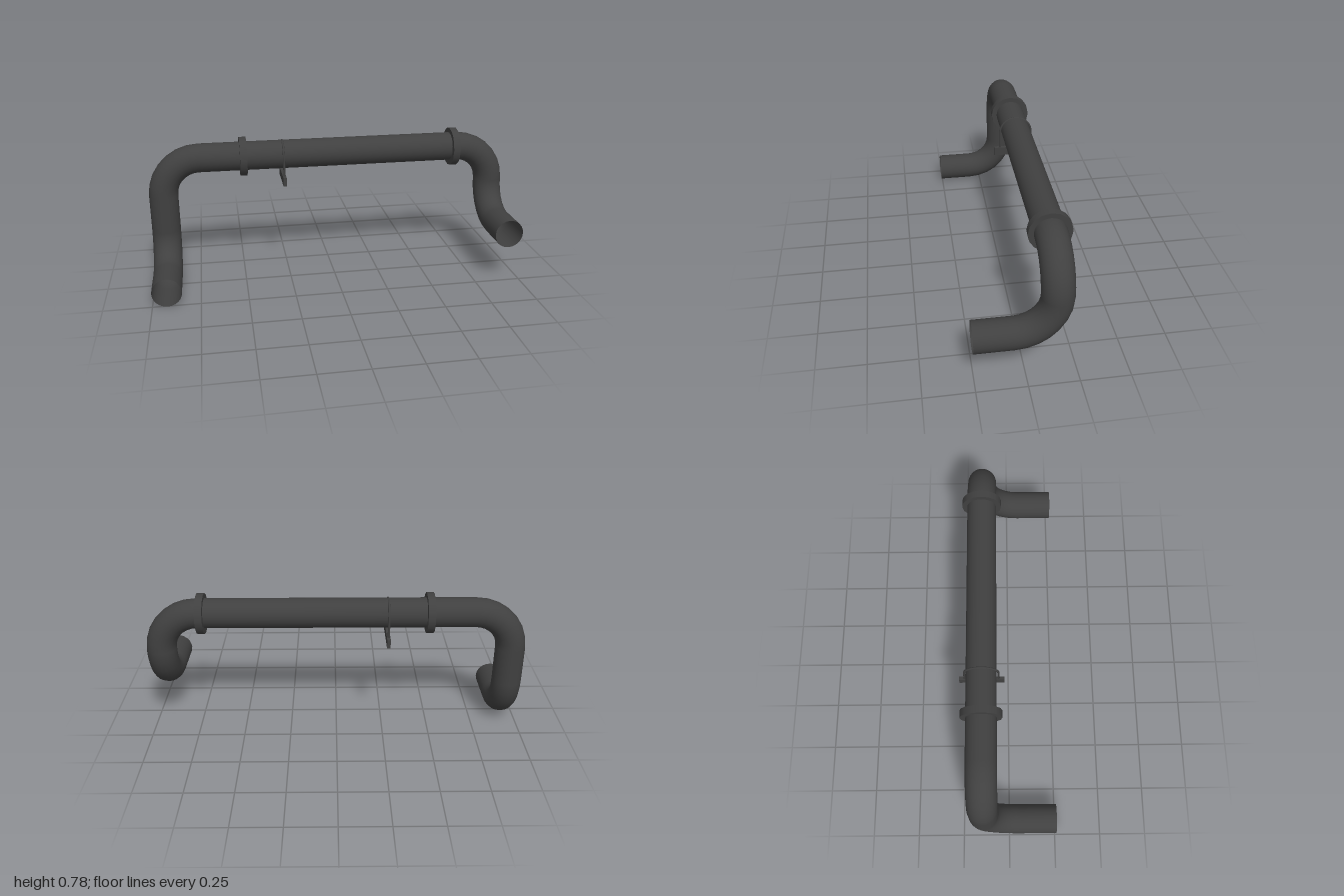
import * as THREE from 'three';

const V = (x, y, z) => new THREE.Vector3(x, y, z);
const R = 0.078, BEND = 0.2, Y = 0.677, Z = -0.137;

// Curve that steps through exact stations, each a point with its tangent
class StationCurve extends THREE.Curve {
  constructor(stations) { super(); this.stations = stations; }
  at(u) { return this.stations[Math.round(u * (this.stations.length - 1))]; }
  getPointAt(u) { return this.at(u).p.clone(); }
  getTangentAt(u) { return this.at(u).t.clone(); }
}

// Straight runs between corners, joined by quarter-circle bends
function bentPath(corners, radius, steps) {
  const dir = (a, b) => b.clone().sub(a).normalize();
  const n = corners.length - 1;
  const stations = [{ p: corners[0], t: dir(corners[0], corners[1]) }];
  for (let i = 1; i < n; i++) {
    const a = dir(corners[i - 1], corners[i]), b = dir(corners[i], corners[i + 1]);
    const centre = corners[i].clone().addScaledVector(a, -radius).addScaledVector(b, radius);
    for (let k = 0; k <= steps; k++) {
      const w = (k / steps) * Math.PI / 2, s = Math.sin(w), c = Math.cos(w);
      const p = centre.clone().addScaledVector(b, -radius * c).addScaledVector(a, radius * s);
      const t = a.clone().multiplyScalar(c).addScaledVector(b, s);
      const last = stations[stations.length - 1].p;
      if (last.distanceTo(p) > 1e-4) stations.push({ p, t });
    }
  }
  stations.push({ p: corners[n], t: dir(corners[n - 1], corners[n]) });
  return new StationCurve(stations);
}

export function createModel() {
  const group = new THREE.Group();
  const dark = new THREE.MeshStandardMaterial({ color: 0x404040 });
  const open = new THREE.MeshStandardMaterial({ color: 0x404040, side: THREE.DoubleSide });
  const add = (name, geometry, x = 0, y = 0, z = 0, material = dark) => {
    const mesh = new THREE.Mesh(geometry, material);
    mesh.name = name;
    mesh.position.set(x, y, z);
    group.add(mesh);
    return mesh;
  };

  // Open-ended pipe: forward outlet, riser, crossing, drop, forward outlet
  const X = 0.922, lowY = 0.078, highY = 0.278, endZ = 0.256;
  const path = bentPath([
    V(-X, lowY, endZ), V(-X, lowY, Z), V(-X, Y, Z),
    V(X, Y, Z), V(X, highY, Z), V(X, highY, endZ),
  ], BEND, 7);
  add('pipe', new THREE.TubeGeometry(path, path.stations.length - 1, R, 24), 0, 0, 0, open);

  // Flange collars
  for (const x of [-0.484, 0.699]) {
    add('flange', new THREE.CylinderGeometry(0.106, 0.106, 0.038, 16).rotateZ(Math.PI / 2), x, Y - 0.002, Z);
  }

  // Hanger: U-shaped rod over the pipe, bolted to a cross bar below
  const hx = -0.268, r = 0.087, archY = 0.665, barY = 0.551;
  add('hangerArch', new THREE.TorusGeometry(r, 0.006, 8, 20, Math.PI).rotateY(Math.PI / 2), hx, archY, Z);
  for (const side of [-1, 1]) {
    add('hangerLeg', new THREE.CylinderGeometry(0.006, 0.006, archY - barY, 8),
      hx, (archY + barY) / 2, Z + side * r);
  }
  add('hangerBar', new THREE.BoxGeometry(0.018, 0.048, 0.235), hx, barY, Z);

  return group;
}
